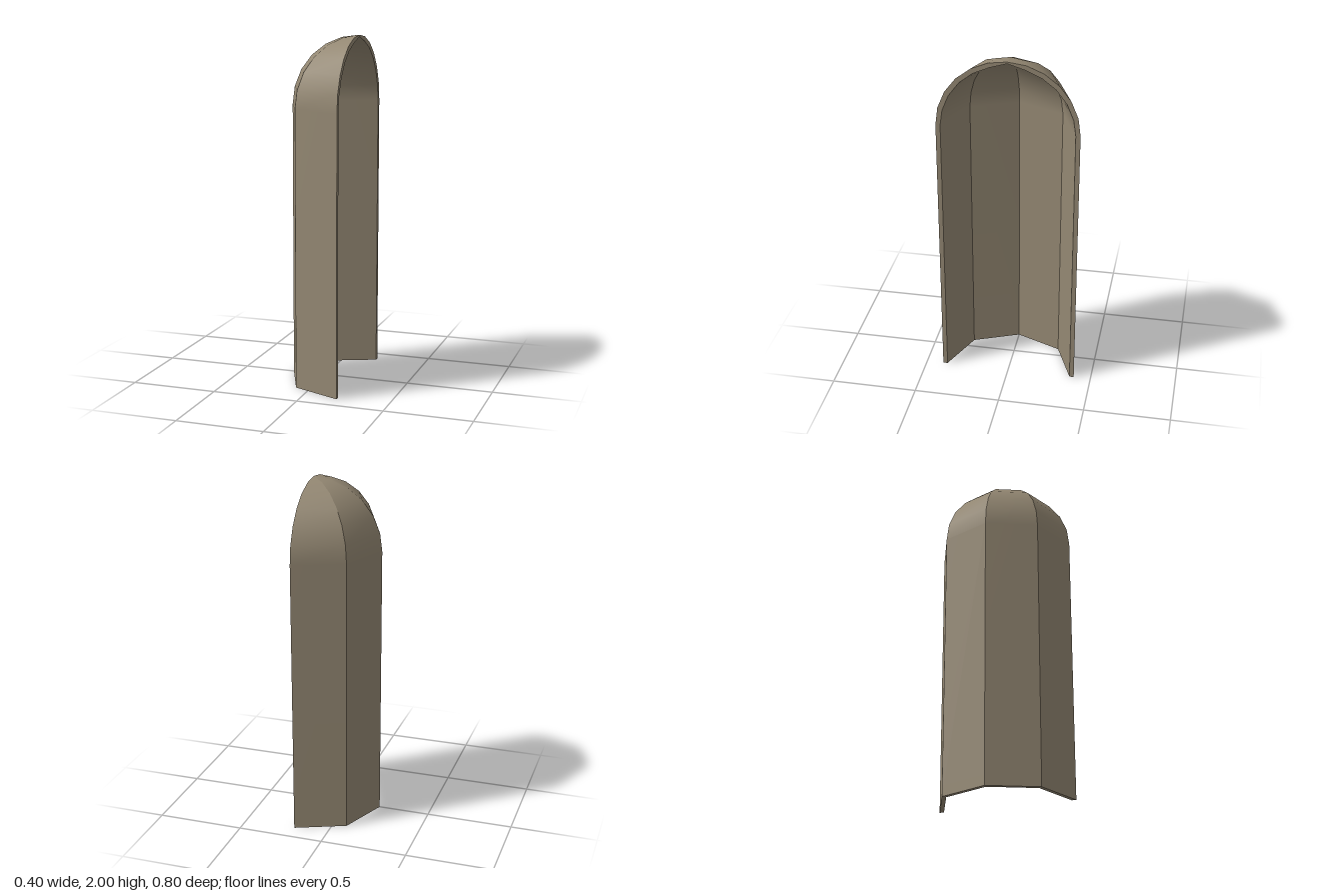
import * as THREE from 'three';
import { mergeGeometries } from 'three/addons/utils/BufferGeometryUtils.js';

// Half profiles [radius, height] from the floor to the apex
const outer = [[0.4, 0]];
for (let i = 0; i <= 6; i++) {
  const a = (i * Math.PI) / 12;
  outer.push([0.4 * Math.cos(a), 1.6 + 0.4 * Math.sin(a)]);
}
const inner = [[0.374, 0], [0.374, 1.6], [0.361, 1.69], [0.324, 1.78], [0.264, 1.86],
  [0.187, 1.92], [0.097, 1.96], [0, 1.99]];

// Point of a profile turned to corner k of the half octagon
const place = ([r, y], k) => {
  const a = Math.PI / 2 + (k * Math.PI) / 4;
  return [0.2 + r * Math.cos(a), y, r * Math.sin(a)];
};

// Strip of quads between two rows of points, smooth along its length
function strip(a, b, flip = false) {
  const pos = [], index = [];
  a.forEach((p, i) => {
    pos.push(...p, ...b[i]);
    if (i === 0) return;
    const [p0, q0, p1, q1] = [2 * i - 2, 2 * i - 1, 2 * i, 2 * i + 1];
    if (flip) index.push(p0, q0, p1, q0, q1, p1);
    else index.push(p0, p1, q0, q0, p1, q1);
  });
  const g = new THREE.BufferGeometry();
  g.setAttribute('position', new THREE.Float32BufferAttribute(pos, 3));
  g.setIndex(index);
  g.computeVertexNormals();
  return g;
}

export function createModel() {
  const group = new THREE.Group();
  group.name = 'domedNiche';
  const stone = new THREE.MeshStandardMaterial({ color: 0x948873, side: THREE.DoubleSide });
  stone.name = 'stone';
  const add = (name, parts) => {
    const mesh = new THREE.Mesh(mergeGeometries(parts), stone);
    mesh.name = name;
    group.add(mesh);
  };
  const row = (profile, k) => profile.map((p) => place(p, k));
  const sides = [0, 1, 2, 3];

  // Four wall panels rising into the half dome, outside and inside
  add('outerShell', sides.map((k) => strip(row(outer, k), row(outer, k + 1))));
  add('innerShell', sides.map((k) => strip(row(inner, k), row(inner, k + 1), true)));

  // Flat rim around the opening
  add('openingRim', [
    strip(row(outer, 0), row(inner, 0), true),
    strip(row(outer, 4), row(inner, 4)),
  ]);

  // Underside of the wall
  const foot = (profile) => [0, 1, 2, 3, 4].map((k) => place(profile[0], k));
  add('wallFoot', [strip(foot(outer), foot(inner))]);
  return group;
}
